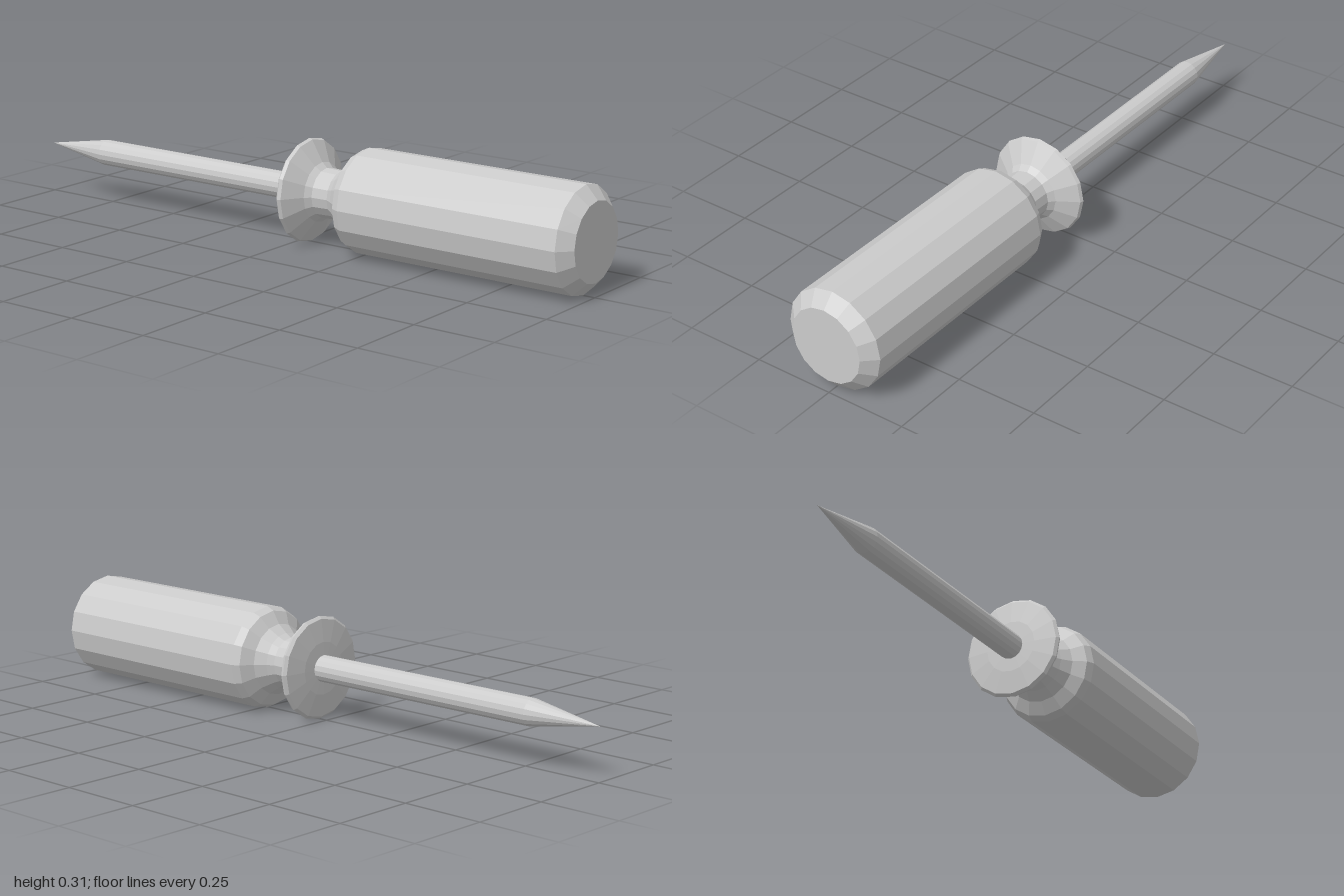
import * as THREE from 'three';

const SIDES = 16;
const RADIUS = 0.156;

// Revolves [radius, z] pairs (ordered by rising z) around the z axis.
function turned(name, profile, material) {
  const points = profile.map(([r, z]) => new THREE.Vector2(r, z));
  const geometry = new THREE.LatheGeometry(points, SIDES);
  geometry.rotateX(Math.PI / 2);
  const mesh = new THREE.Mesh(geometry, material);
  mesh.name = name;
  mesh.position.y = RADIUS;
  return mesh;
}

export function createModel() {
  const material = new THREE.MeshStandardMaterial({ color: 0xcccccc, flatShading: true });
  const model = new THREE.Group();
  model.name = 'awl';

  // Grip with a chamfered butt, narrow neck and flared finger guard
  model.add(turned('handle', [
    [0, 0.01],
    [0.08, 0.012],
    [0.148, 0.02],
    [RADIUS, 0.028],
    [0.152, 0.038],
    [0.09, 0.075],
    [0.075, 0.092],
    [0.073, 0.145],
    [0.085, 0.165],
    [0.108, 0.195],
    [0.145, 0.218],
    [RADIUS, 0.242],
    [RADIUS, 0.963],
    [0.116, 1],
    [0, 1],
  ], material));

  // Straight rod tapering to a point
  model.add(turned('spike', [
    [0, -1],
    [0.04, -0.77],
    [0.04, 0.03],
  ], material));

  return model;
}
